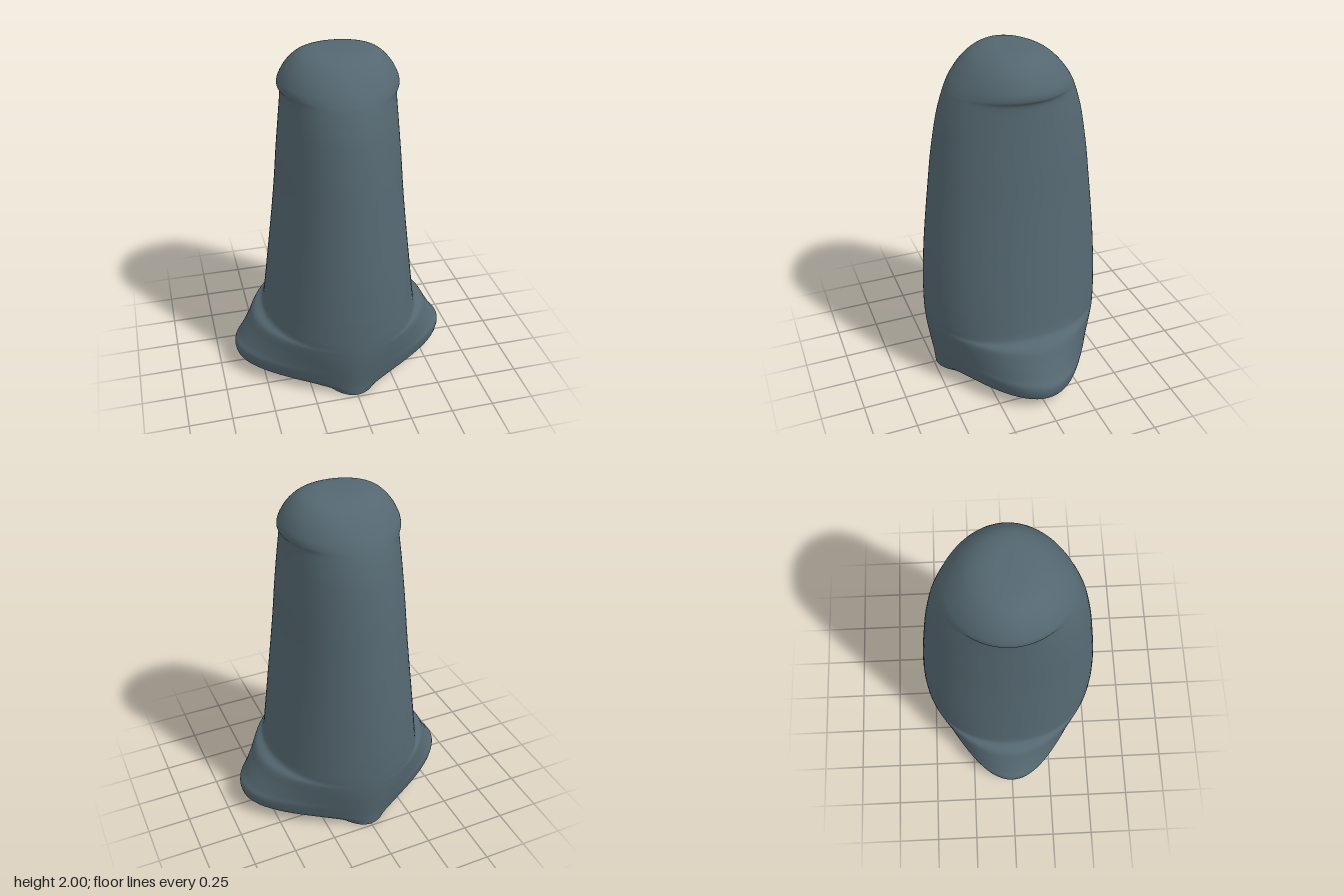
import * as THREE from 'three';

// Cross-sections, bottom to top: [height, half width, side bulge, half depth]
const SECTIONS = [
  [0, 0.23, 0, 0.485], [0.02, 0.24, 0.1, 0.487], [0.045, 0.265, 0.26, 0.489],
  [0.07, 0.28, 0.345, 0.491], [0.11, 0.3, 0.35, 0.497], [0.16, 0.33, 0.32, 0.505],
  [0.2, 0.355, 0.265, 0.511], [0.28, 0.405, 0.165, 0.522], [0.35, 0.44, 0.09, 0.528],
  [0.38, 0.45, 0.025, 0.529], [0.42, 0.455, 0.002, 0.53], [0.5, 0.445, 0, 0.53],
  [0.6, 0.432, 0, 0.528], [0.8, 0.407, 0, 0.516], [1.0, 0.383, 0, 0.497],
  [1.2, 0.362, 0, 0.474], [1.4, 0.345, 0, 0.449], [1.6, 0.326, 0, 0.414],
  [1.7, 0.317, 0, 0.387], [1.77, 0.312, 0.002, 0.362], [1.8, 0.312, 0.018, 0.348],
  [1.84, 0.31, 0.016, 0.324], [1.9, 0.292, 0.003, 0.276], [1.95, 0.252, 0, 0.221],
  [1.98, 0.21, 0, 0.165], [1.995, 0.16, 0, 0.11], [2, 0.11, 0, 0.065],
];
const SIDES = 96;
const RINGS = 130;

// One ring point; the cubed cosine pushes only the two sides out into lobes
function ringPoint(width, bulge, depth, angle) {
  const c = Math.cos(angle);
  return [width * c + bulge * c ** 3, depth * Math.sin(angle)];
}

// Smooth loft through the sections, closed at the top
function bodyGeometry() {
  const curve = (pick) => new THREE.CatmullRomCurve3(
    SECTIONS.map(pick), false, 'catmullrom', 0.5);
  const outline = curve(([y, w, b, d]) => new THREE.Vector3(w, y, d));
  const lobes = curve(([y, w, b]) => new THREE.Vector3(b, 0, 0));
  const positions = [];
  const index = [];
  for (let j = 0; j <= RINGS; j++) {
    const p = outline.getPoint(j / RINGS);
    const bulge = Math.max(0, lobes.getPoint(j / RINGS).x);
    for (let i = 0; i < SIDES; i++) {
      const [x, z] = ringPoint(p.x, bulge, p.z, (i / SIDES) * Math.PI * 2);
      positions.push(x, p.y, z);
      if (j === RINGS) continue;
      const a = j * SIDES + i;
      const b = j * SIDES + ((i + 1) % SIDES);
      index.push(a, a + SIDES, b, b, a + SIDES, b + SIDES);
    }
  }
  const top = positions.length / 3;
  positions.push(0, 2, 0);
  for (let i = 0; i < SIDES; i++) {
    index.push(top, RINGS * SIDES + ((i + 1) % SIDES), RINGS * SIDES + i);
  }
  const geometry = new THREE.BufferGeometry();
  geometry.setAttribute('position', new THREE.Float32BufferAttribute(positions, 3));
  geometry.setIndex(index);
  geometry.computeVertexNormals();
  return geometry;
}

export function createModel() {
  const slate = new THREE.MeshStandardMaterial({ color: 0x546770 });
  slate.name = 'slate';
  const group = new THREE.Group();
  group.name = 'taperedForm';

  const body = new THREE.Mesh(bodyGeometry(), slate);
  body.name = 'body';
  group.add(body);

  // Flat oval underside
  const [, width, , depth] = SECTIONS[0];
  const base = new THREE.Mesh(new THREE.CircleGeometry(1, SIDES), slate);
  base.name = 'base';
  base.scale.set(width, depth, 1);
  base.rotation.x = Math.PI / 2;
  group.add(base);

  return group;
}
